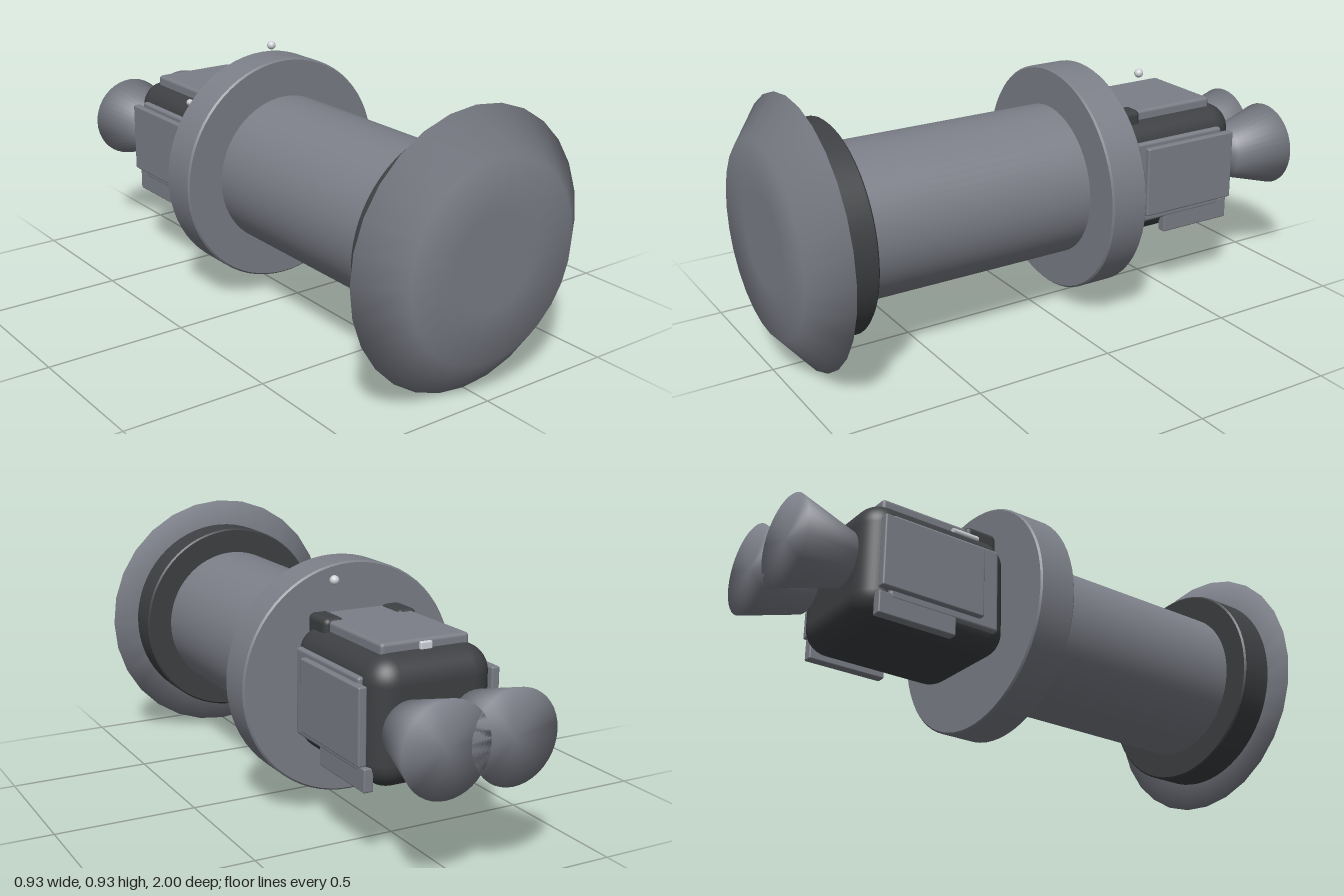
import * as THREE from 'three';
import { RoundedBoxGeometry } from 'three/addons/geometries/RoundedBoxGeometry.js';

const AXIS = 0.465; // height of the long axis

export function createModel() {
  const model = new THREE.Group();
  const grey = new THREE.MeshStandardMaterial({ color: 0x7c7f88 });
  const dark = new THREE.MeshStandardMaterial({ color: 0x3e4043 });
  const pale = new THREE.MeshStandardMaterial({ color: 0xd0d4d8 });

  const add = (name, material, geometry, x, y, z) => {
    const mesh = new THREE.Mesh(geometry, material);
    mesh.name = name;
    mesh.position.set(x, y, z);
    model.add(mesh);
    return mesh;
  };

  // Solid of revolution along z from [radius, z] pairs, ordered back to front
  const turned = (name, material, profile, sides, x = 0) => {
    const geo = new THREE.LatheGeometry(profile.map(([r, z]) => new THREE.Vector2(r, z)), sides);
    geo.rotateX(Math.PI / 2);
    return add(name, material, geo, x, AXIS, 0);
  };

  // Capped drum with crisp, slightly bevelled edges
  const drum = (name, material, r, z0, z1) => {
    const b = 0.006;
    return turned(name, material, [
      [0, z0], [r - b, z0], [r - b, z0], [r, z0 + b], [r, z0 + b],
      [r, z1 - b], [r, z1 - b], [r - b, z1], [r - b, z1], [0, z1],
    ], 64);
  };

  // Rounded box given by its extents
  const block = (name, material, x0, x1, y0, y1, z0, z1, r = 0.01, seg = 2) =>
    add(name, material, new RoundedBoxGeometry(x1 - x0, y1 - y0, z1 - z0, seg, r),
      (x0 + x1) / 2, (y0 + y1) / 2, (z0 + z1) / 2);

  // Same block on both sides of the model
  const pair = (name, material, x0, x1, ...rest) => {
    block(name + 'Left', material, x0, x1, ...rest);
    block(name + 'Right', material, -x1, -x0, ...rest);
  };

  // Front shield, softly shaded over its rim, and its collar
  turned('frontShield', grey,
    [[0, 0.89], [0.291, 0.89], [0.463, 0.89], [0.33, 1], [0.158, 1], [0, 1]], 28);
  drum('frontCollar', dark, 0.365, 0.765, 0.89);

  // Long tube and rear flange
  drum('mainTube', grey, 0.27, -0.09, 0.78);
  drum('rearFlange', grey, 0.406, -0.221, -0.08);

  // Rounded equipment body
  block('rearBody', dark, -0.222, 0.222, 0.255, 0.68, -0.768, -0.205, 0.09, 6);

  // Top panel with brackets and fittings
  block('topPanel', grey, -0.163, 0.157, 0.65, 0.71, -0.685, -0.23, 0.012);
  pair('topBracket', dark, 0.1, 0.175, 0.645, 0.718, -0.36, -0.235, 0.02, 3);
  block('topLatch', pale, -0.022, 0.022, 0.675, 0.702, -0.695, -0.675, 0.005);
  const rod = add('sideRod', pale, new THREE.CylinderGeometry(0.012, 0.012, 0.1, 16), -0.185, 0.665, -0.375);
  rod.rotation.x = Math.PI / 2;

  // Layered side panels with a lower strip
  pair('sidePanelInner', grey, 0.2, 0.236, 0.315, 0.615, -0.685, -0.27, 0.01);
  pair('sidePanelOuter', grey, 0.226, 0.256, 0.343, 0.597, -0.725, -0.34, 0.006);
  pair('lowerStrip', grey, 0.2, 0.235, 0.256, 0.335, -0.724, -0.435, 0.005);

  // Free-floating marker ball above the body
  add('markerBall', pale, new THREE.SphereGeometry(0.016, 20, 14), 0.145, 0.846, -0.367);

  // Twin rear nozzles, softly shaded
  for (const side of [-1, 1]) {
    turned(side > 0 ? 'nozzleLeft' : 'nozzleRight', grey,
      [[0, -1], [0.155, -1], [0.095, -0.795], [0, -0.795]], 40, side * 0.12);
  }

  return model;
}
